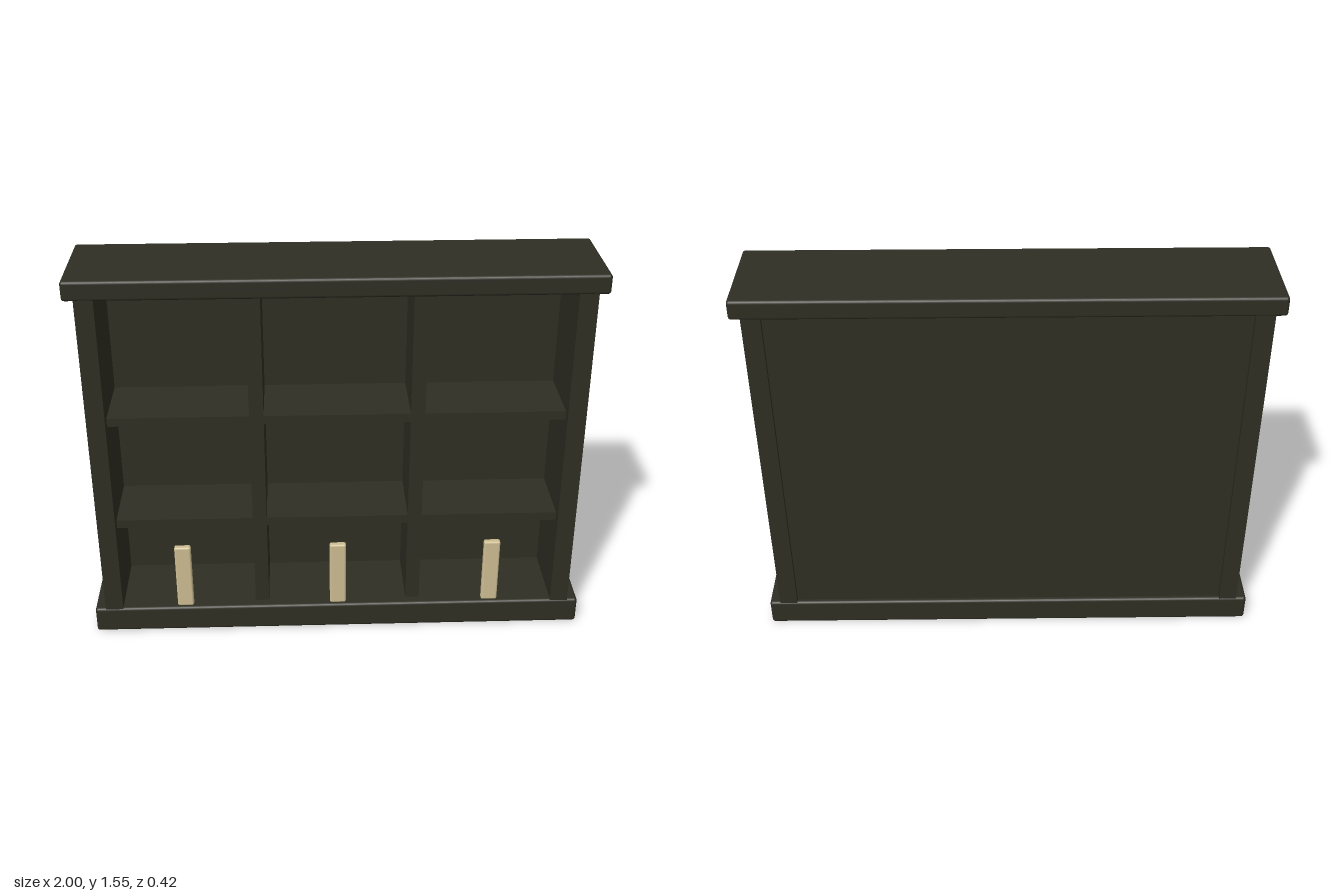
import * as THREE from 'three';
import { RoundedBoxGeometry } from 'three/addons/geometries/RoundedBoxGeometry.js';

export function createModel() {
  const model = new THREE.Group();
  model.name = 'cubbyShelf';
  const darkWood = new THREE.MeshStandardMaterial({ name: 'dark wood', color: 0x2f2e23 });
  const paleHandle = new THREE.MeshStandardMaterial({ name: 'pale handle', color: 0xcdbd92 });

  // Box given by its limits on each axis, with optional rounded edges
  function slab(name, [x0, x1], [y0, y1], [z0, z1], material = darkWood, radius = 0) {
    const size = [x1 - x0, y1 - y0, z1 - z0];
    const geometry = radius
      ? new RoundedBoxGeometry(...size, 3, radius)
      : new THREE.BoxGeometry(...size);
    const mesh = new THREE.Mesh(geometry, material);
    mesh.name = name;
    mesh.position.set((x0 + x1) / 2, (y0 + y1) / 2, (z0 + z1) / 2);
    model.add(mesh);
  }

  const depth = [-0.21, 0.193];
  const innerDepth = [-0.125, 0.15];

  // Overhanging base and top
  slab('base', [-1, 1], [0, 0.11], depth, darkWood, 0.012);
  slab('top', [-1, 1], [1.47, 1.547], depth, darkWood, 0.012);

  // Side panels
  for (const [name, s] of [['leftSide', 1], ['rightSide', -1]]) {
    const c = s * 0.921;
    slab(name, [c - 0.036, c + 0.036], [0.1, 1.48], [-0.207, 0.19]);
  }

  // Recessed back panel
  slab('backPanel', [-0.886, 0.886], [0.1, 1.48], [-0.19, -0.122]);

  // Upright dividers
  for (const x of [-0.312, 0.312]) {
    slab('divider', [x - 0.028, x + 0.028], [0.105, 1.475], innerDepth);
  }

  // Shelves, one board per bay
  for (const [y0, y1] of [[0.477, 0.512], [0.937, 0.972]]) {
    for (const [x0, x1] of [[-0.886, -0.34], [-0.284, 0.284], [0.34, 0.886]]) {
      slab('shelf', [x0, x1], [y0, y1], innerDepth);
    }
  }

  // Upright handles in front of the bottom bays
  for (const x of [-0.624, 0, 0.624]) {
    slab('handle', [x - 0.033, x + 0.033], [0.133, 0.415], [0.185, 0.213], paleHandle, 0.008);
  }

  return model;
}
